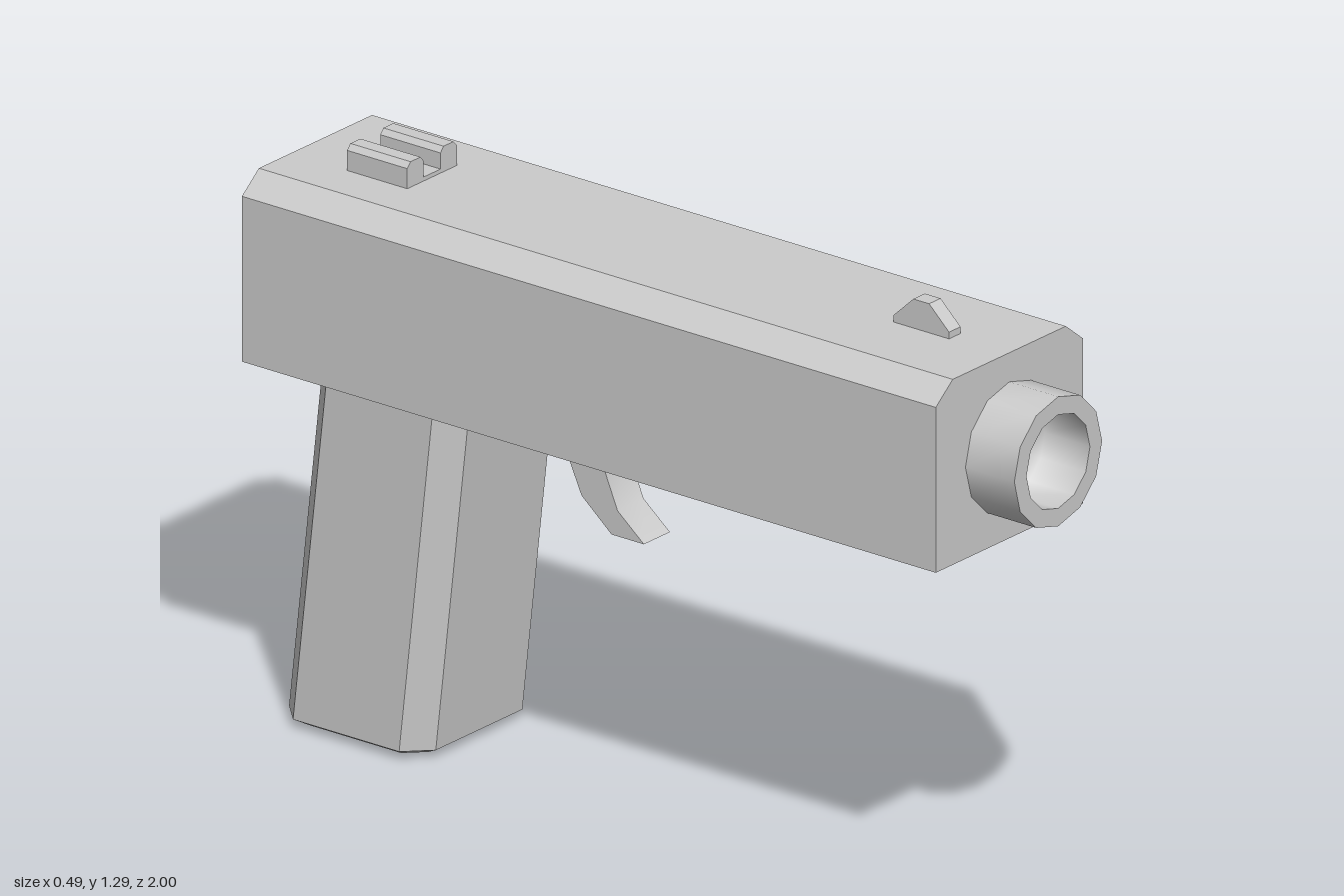
import * as THREE from 'three';
import { toCreasedNormals } from 'three/addons/utils/BufferGeometryUtils.js';

const grey = new THREE.MeshStandardMaterial({ color: 0xcccccc });

// Flat-shaded skin through rings of [x, y, z] points, capped at both ends.
// Rings run counter-clockwise as seen from the last ring's side.
function loft(rings) {
  const pos = [];
  const n = rings[0].length;
  const tri = (a, b, c) => pos.push(...a, ...b, ...c);
  for (let r = 0; r < rings.length - 1; r++) {
    for (let i = 0; i < n; i++) {
      const j = (i + 1) % n;
      const [a, b, c, d] = [rings[r][i], rings[r][j], rings[r + 1][j], rings[r + 1][i]];
      tri(a, b, c);
      tri(a, c, d);
    }
  }
  const first = rings[0], last = rings[rings.length - 1];
  for (let i = 1; i < n - 1; i++) {
    tri(first[0], first[i + 1], first[i]);
    tri(last[0], last[i], last[i + 1]);
  }
  const geo = new THREE.BufferGeometry();
  geo.setAttribute('position', new THREE.Float32BufferAttribute(pos, 3));
  geo.computeVertexNormals();
  return geo;
}

// Extrude an outline, centred on its depth
function extrude(points, depth) {
  const shape = new THREE.Shape(points.map(([x, y]) => new THREE.Vector2(x, y)));
  return new THREE.ExtrudeGeometry(shape, { depth, bevelEnabled: false }).translate(0, 0, -depth / 2);
}

// Side outline given as [z, y], extruded across x
const sideExtrude = (points, width) => extrude(points, width).rotateY(-Math.PI / 2);

// Turned part along z, profile given as [radius, z]
function turned(profile) {
  const points = profile.map(([r, z]) => new THREE.Vector2(r, z));
  return new THREE.LatheGeometry(points, 12).rotateX(Math.PI / 2).translate(0, 1.015, 0);
}

export function createModel() {
  const model = new THREE.Group();
  const add = (name, geo) => {
    const mesh = new THREE.Mesh(geo, grey);
    mesh.name = name;
    model.add(mesh);
  };

  // Slide: chamfered top edges and a bevelled back
  const slideRing = (z, inset) => {
    const w = 0.243 - inset, t = 0.187 - inset * 0.5;
    const lo = 0.81 + inset, hi = 1.225 - inset, side = 1.18 - inset * 0.5;
    return [[-w, lo, z], [w, lo, z], [w, side - inset * 0.2, z], [t, hi, z], [-t, hi, z], [-w, side - inset * 0.2, z]];
  };
  add('slide', loft([slideRing(-1, 0.034), slideRing(-0.975, 0), slideRing(0.87, 0)]));

  // Barrel: crisp outer ring, softly shaded bore
  add('barrel', toCreasedNormals(turned([[0.145, 0.86], [0.145, 1], [0.105, 1]]), 0.7));
  add('bore', turned([[0.105, 1], [0.105, 0.88], [0, 0.88]]));

  // Grip: raked octagonal prism with a bevelled foot
  const gripRing = (y, zMid, inset) => {
    const w = 0.197 - inset, d = 0.195 - inset, c = 0.054 - inset * 0.4;
    return [
      [w, d - c], [w, c - d], [w - c, -d], [c - w, -d],
      [-w, c - d], [-w, d - c], [c - w, d], [w - c, d],
    ].map(([x, z]) => [x, y, z + zMid]);
  };
  add('grip', loft([gripRing(0, -0.737, 0.035), gripRing(0.02, -0.735, 0), gripRing(0.812, -0.645, 0)]));

  // Trigger: curved blade, smooth along its bends
  add('trigger', toCreasedNormals(sideExtrude([
    [-0.28, 0.815], [-0.28, 0.74], [-0.233, 0.637], [-0.153, 0.57],
    [-0.067, 0.57], [-0.137, 0.627], [-0.185, 0.74], [-0.185, 0.815],
  ], 0.086), 0.8));

  // Front sight: small ramped fin
  add('frontSight', sideExtrude([
    [0.577, 1.22], [0.725, 1.22], [0.725, 1.24], [0.672, 1.29], [0.63, 1.29], [0.577, 1.24],
  ], 0.038));

  // Rear sight: notched block with clipped corners
  const half = [[0.082, 1.22], [0.082, 1.27], [0.071, 1.282], [0.038, 1.282], [0.028, 1.27], [0.028, 1.234]];
  const mirrored = half.map(([x, y]) => [-x, y]).reverse();
  add('rearSight', extrude([...half, ...mirrored], 0.16).translate(0, 0, -0.745));

  return model;
}
